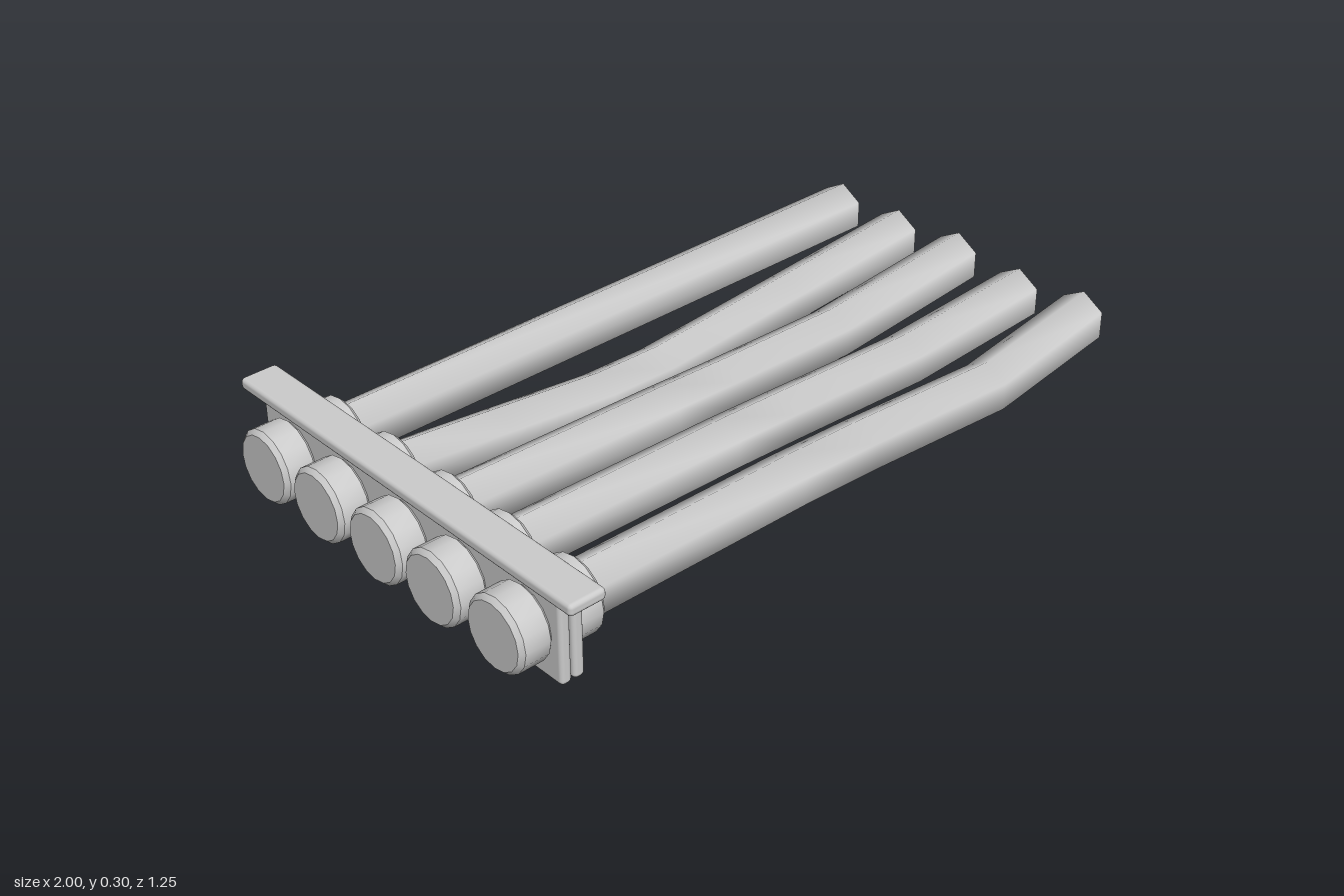
import * as THREE from 'three';
import { RoundedBoxGeometry } from 'three/addons/geometries/RoundedBoxGeometry.js';
import { mergeVertices, toCreasedNormals } from 'three/addons/utils/BufferGeometryUtils.js';

const AXIS_Y = 0.155;   // height of the collar axes
const HOSE_R = 0.075;

// Stations along each hose: [x, y], plus the z of its collar and its free end
const HOSES = [
  { z: 0.443, endZ: 0.443, path: [[-0.78, 0.155], [-0.1, 0.15], [0.15, 0.14], [0.62, 0.11], [1, 0.172]] },
  { z: 0.215, endZ: 0.222, path: [[-0.78, 0.155], [-0.1, 0.145], [0.1, 0.138], [0.55, 0.122], [1, 0.15]] },
  { z: 0, endZ: 0, path: [[-0.78, 0.155], [-0.1, 0.14], [0.1, 0.133], [0.5, 0.125], [1, 0.172]] },
  { z: -0.225, endZ: -0.225, path: [[-0.78, 0.155], [-0.45, 0.12], [-0.12, 0.085], [0.08, 0.081], [0.55, 0.118], [1, 0.155]] },
  { z: -0.445, endZ: -0.445, path: [[-0.78, 0.155], [1, 0.155]] },
];

// Six-sided open tube whose upright cross-sections follow the stations
function hoseGeometry({ z, endZ, path }) {
  const n = path.length - 1;
  let geo = new THREE.CylinderGeometry(HOSE_R, HOSE_R, n, 6, n, true);
  geo.rotateY(Math.PI / 2).rotateZ(-Math.PI / 2);
  const pos = geo.attributes.position;
  for (let i = 0; i < pos.count; i++) {
    const [x, y] = path[Math.round(pos.getX(i) + n / 2)];
    const shift = (endZ - z) * THREE.MathUtils.smoothstep(x, 0, 1);
    pos.setXYZ(i, x, pos.getY(i) + y, pos.getZ(i) + z + shift);
  }
  geo.deleteAttribute('uv');
  geo.deleteAttribute('normal');
  geo = mergeVertices(geo, 1e-4);
  geo.computeVertexNormals();
  return geo;
}

// Solid round collar with bevelled rims, lying along x from x0 to x1
function collarGeometry(x0, x1) {
  const r = 0.1, b = 0.012;
  const profile = [[0, x0], [r - b, x0], [r, x0 + b], [r, x1 - b], [r - b, x1], [0, x1]]
    .map(([a, h]) => new THREE.Vector2(a, h));
  const geo = new THREE.LatheGeometry(profile, 16);
  geo.rotateZ(-Math.PI / 2);
  return toCreasedNormals(geo, 0.6);
}

export function createModel() {
  const model = new THREE.Group();
  const grey = new THREE.MeshStandardMaterial({ color: 0xcccccc });
  const greyOpen = new THREE.MeshStandardMaterial({ color: 0xcccccc, side: THREE.DoubleSide });

  const add = (name, geo, x = 0, y = 0, z = 0, material = grey) => {
    const mesh = new THREE.Mesh(geo, material);
    mesh.name = name;
    mesh.position.set(x, y, z);
    model.add(mesh);
  };

  // Rack: two upright plates under a wider top bar
  const plate = new RoundedBoxGeometry(0.032, 0.245, 1.126, 2, 0.012);
  add('outerPlate', plate, -0.893, 0.1555, 0.002);
  add('innerPlate', plate, -0.856, 0.1555, 0.002);
  add('topBar', new RoundedBoxGeometry(0.105, 0.033, 1.255, 2, 0.012), -0.877, 0.285, 0);

  // Each hose with an end cap outside the rack and a collar inside it
  const cap = collarGeometry(-1, -0.905);
  const collar = collarGeometry(-0.845, -0.753);
  for (const hose of HOSES) {
    add('endCap', cap, 0, AXIS_Y, hose.z);
    add('collar', collar, 0, AXIS_Y, hose.z);
    add('hose', hoseGeometry(hose), 0, 0, 0, greyOpen);
  }
  return model;
}
